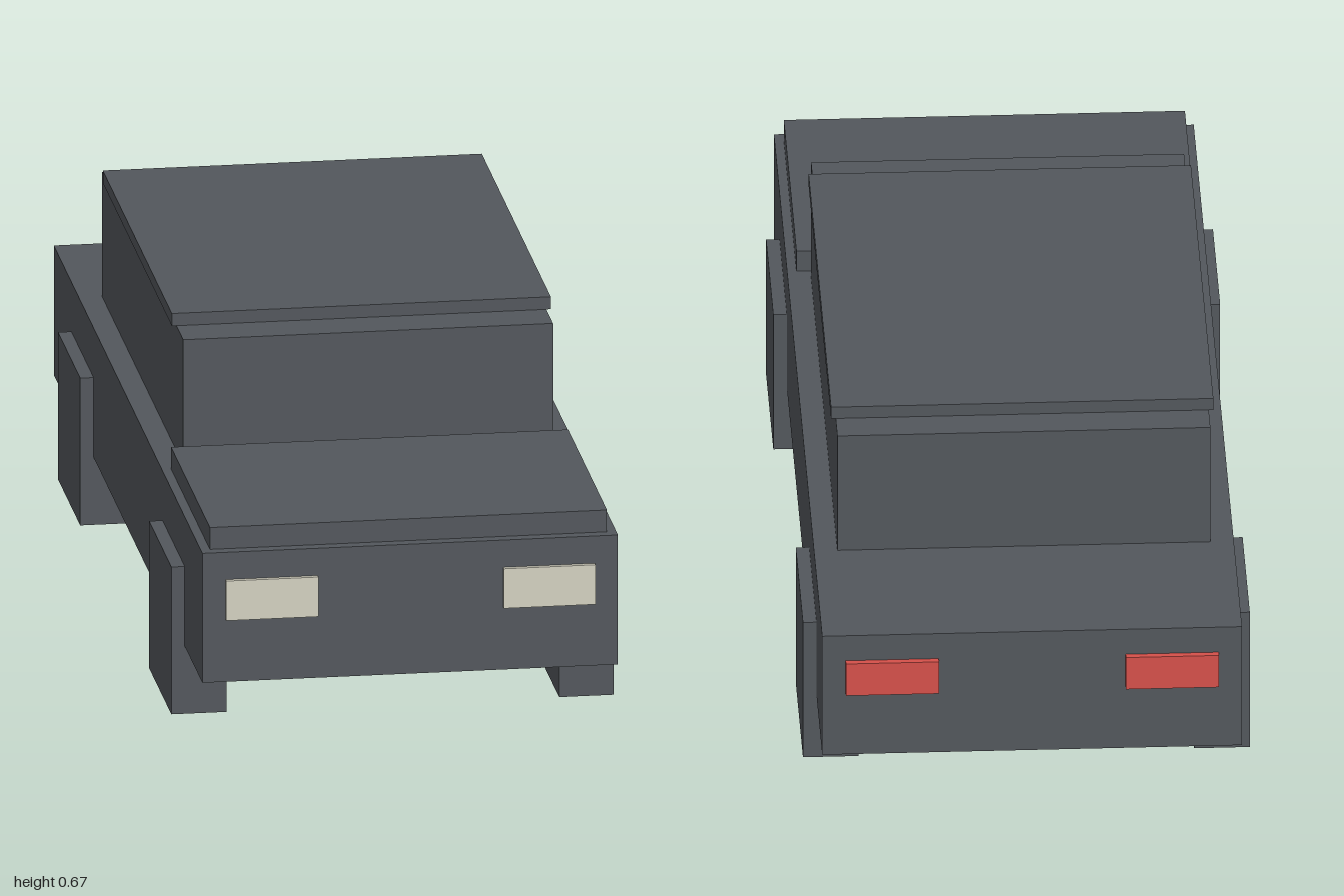
import * as THREE from 'three';

const material = (name, color) => {
  const m = new THREE.MeshStandardMaterial({ color });
  m.name = name;
  return m;
};

export function createModel() {
  const car = new THREE.Group();
  car.name = 'car';

  const paint = material('dark grey', 0x53575c);
  const cream = material('cream', 0xd3d0c0);
  const red = material('red', 0xd5504a);

  // Box given by its low and high limits on each axis
  const block = (name, mat, [x0, x1], [y0, y1], [z0, z1]) => {
    const mesh = new THREE.Mesh(new THREE.BoxGeometry(x1 - x0, y1 - y0, z1 - z0), mat);
    mesh.position.set((x0 + x1) / 2, (y0 + y1) / 2, (z0 + z1) / 2);
    mesh.name = name;
    car.add(mesh);
  };

  // Stacked bodywork
  block('body', paint, [-0.404, 0.404], [0.136, 0.397], [-0.987, 0.987]);
  block('hood', paint, [-0.386, 0.386], [0.397, 0.441], [0.448, 0.964]);
  block('cabin', paint, [-0.359, 0.359], [0.397, 0.649], [-0.651, 0.425]);
  block('roof', paint, [-0.368, 0.368], [0.649, 0.674], [-0.582, 0.335]);

  // Wheels and lights, mirrored left and right
  for (const [side, s] of [['left', 1], ['right', -1]]) {
    const span = (a, b) => (s > 0 ? [a, b] : [-b, -a]);
    block(side + 'FrontWheel', paint, span(0.323, 0.43), [0, 0.297], [0.458, 0.753]);
    block(side + 'RearWheel', paint, span(0.323, 0.43), [0, 0.297], [-0.753, -0.458]);
    block(side + 'Headlight', cream, span(0.18, 0.359), [0.262, 0.342], [0.987, 0.9965]);
    block(side + 'Taillight', red, span(0.18, 0.359), [0.272, 0.342], [-1, -0.987]);
  }

  return car;
}
